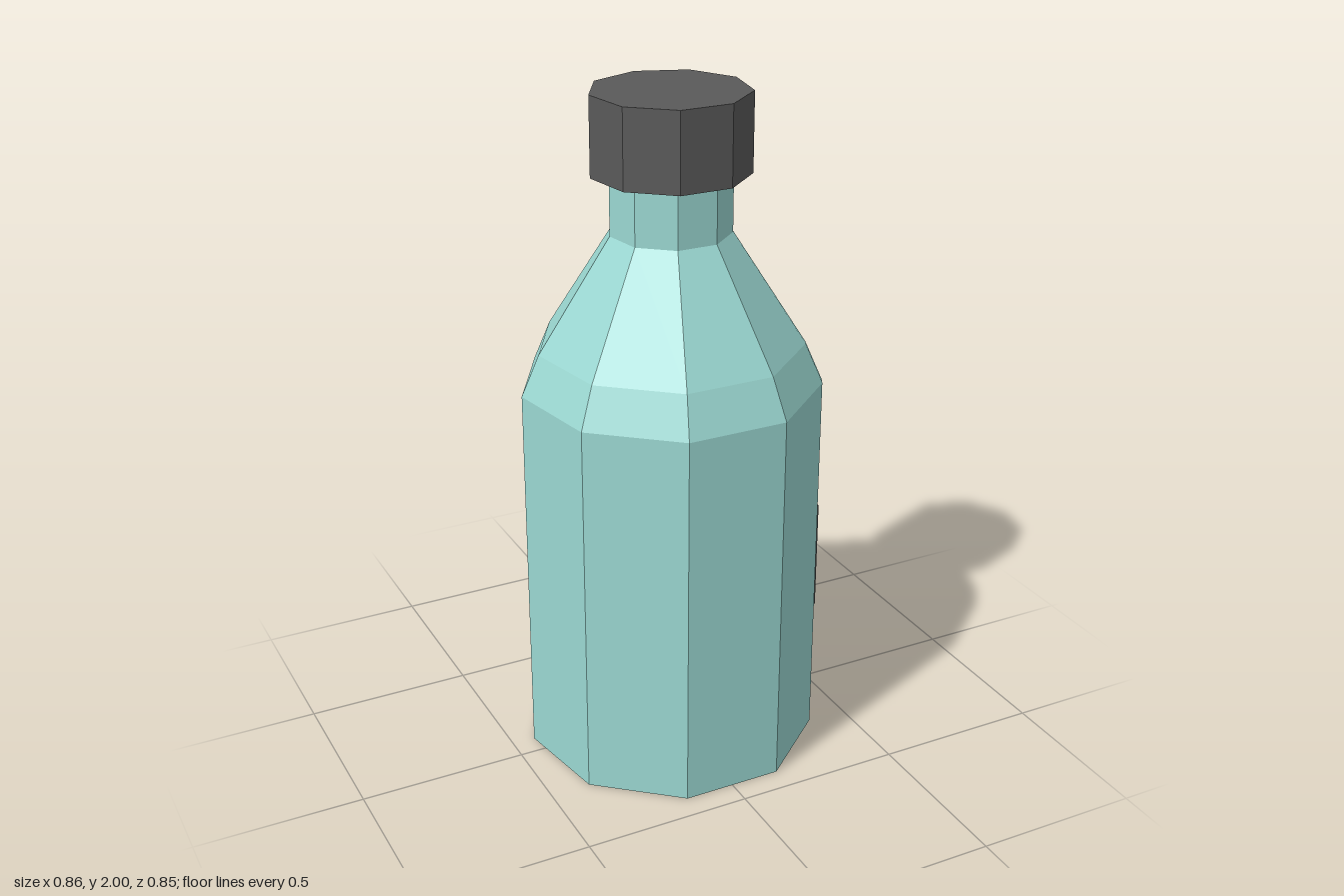
import * as THREE from 'three';

const SIDES = 9;
const CENTER_Z = 0.012;
const BODY_R = 0.438;
const rad = THREE.MathUtils.degToRad;

const flat = (color) => new THREE.MeshStandardMaterial({ color, flatShading: true });

export function createModel() {
  const model = new THREE.Group();

  // Bottle: base, straight wall, two-step shoulder and neck
  const profile = [
    [0, 0], [BODY_R, 0], [BODY_R, 1.15], [0.386, 1.27], [0.175, 1.6], [0.175, 1.8], [0, 1.8],
  ].map(([r, y]) => new THREE.Vector2(r, y));

  // Nine even sides plus one narrow seam strip beside the label side
  const angles = [20, 60, 63, 100, 140, 180, 220, 260, 300, 340, 380].map(rad);
  const bottleGeo = new THREE.LatheGeometry(profile, angles.length - 1);
  const pos = bottleGeo.attributes.position;
  for (let i = 0; i < pos.count; i++) {
    const a = angles[Math.floor(i / profile.length)];
    const r = Math.hypot(pos.getX(i), pos.getZ(i));
    pos.setXYZ(i, r * Math.sin(a), pos.getY(i), r * Math.cos(a));
  }
  bottleGeo.computeVertexNormals();
  const bottle = new THREE.Mesh(bottleGeo, flat(0x9bd8d2));
  bottle.name = 'bottle';
  bottle.position.z = CENTER_Z;
  model.add(bottle);

  // Cap, with a corner pointing to the back like the bottle
  const cap = new THREE.Mesh(
    new THREE.CylinderGeometry(0.228, 0.228, 0.23, SIDES), flat(0x5a5a5a));
  cap.name = 'cap';
  cap.rotation.y = Math.PI;
  cap.position.set(0, 1.885, CENTER_Z);
  model.add(cap);

  // Label plate lying on the left side facet
  const facing = rad((63 + 100) / 2);
  const apothem = BODY_R * Math.cos(rad((100 - 63) / 2));
  const label = new THREE.Mesh(new THREE.BoxGeometry(0.258, 0.335, 0.006), flat(0x424242));
  label.name = 'label';
  label.rotation.y = facing;
  label.position.set(
    apothem * Math.sin(facing), 0.577, CENTER_Z + apothem * Math.cos(facing));
  // Slide it along the facet towards the front
  label.translateX(-0.014);
  model.add(label);

  return model;
}
